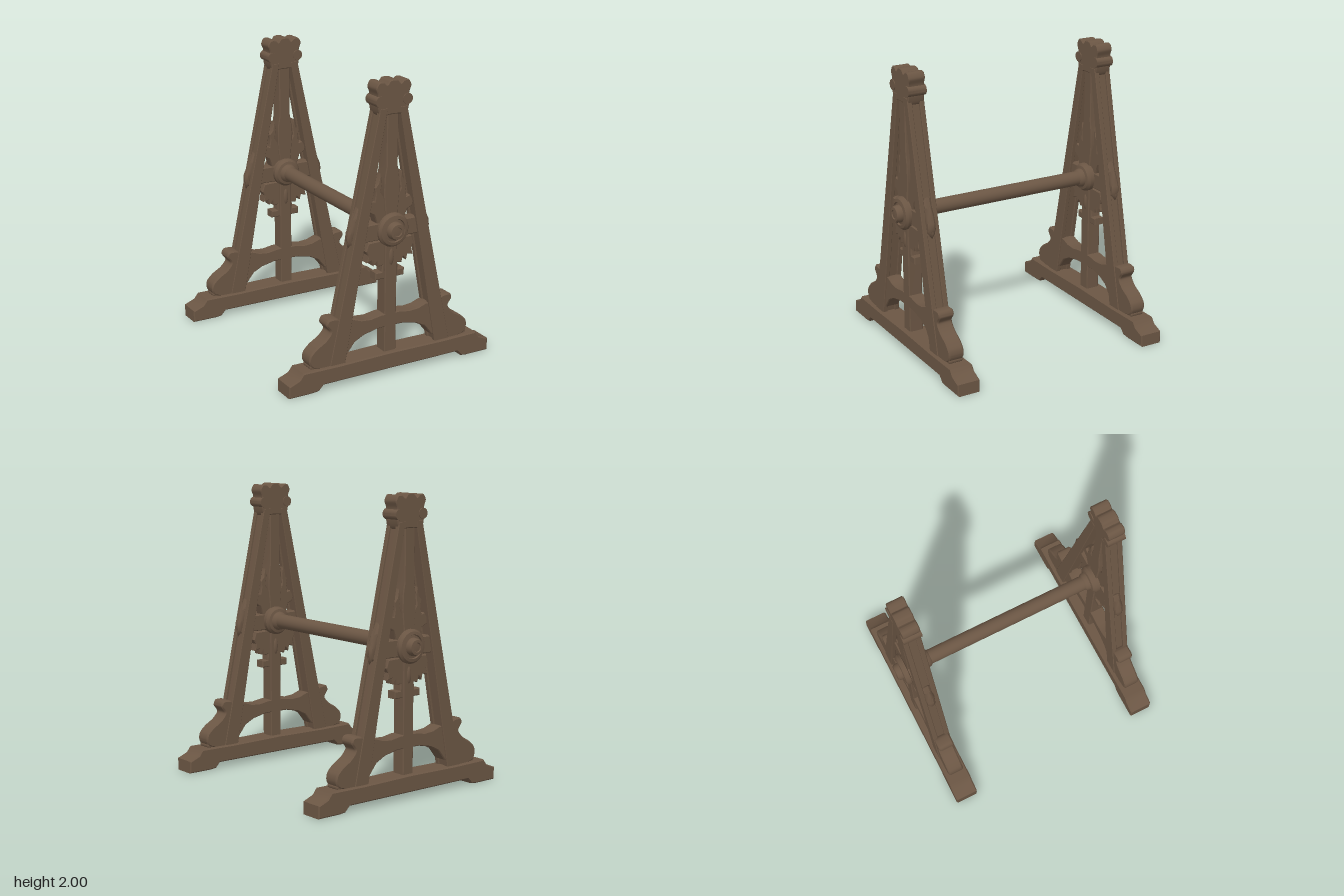
import * as THREE from 'three';
import { toCreasedNormals } from 'three/addons/utils/BufferGeometryUtils.js';

const wood = new THREE.MeshStandardMaterial({ color: 0x6b5644 });
wood.name = 'dark wood';

const FRAME_Z = 0.72, HUB_Y = 1.01;

function add(parent, name, geometry, x = 0, y = 0, z = 0) {
  const mesh = new THREE.Mesh(geometry, wood);
  mesh.name = name;
  mesh.position.set(x, y, z);
  parent.add(mesh);
  return mesh;
}

const vecs = (pts) => pts.map(([x, y]) => new THREE.Vector2(x, y));
const mirrorX = (pts) => pts.map(([x, y]) => [-x, y]).reverse();
// Closes a right-hand outline, listed from the centre line, with its mirror image
const symmetric = (pts) => [...pts, ...mirrorX(pts)];
// Rounds an outline into a smooth closed curve
function smooth(pts, n = 60, tension = 0.4) {
  const curve = new THREE.CatmullRomCurve3(pts.map(([x, y]) => new THREE.Vector3(x, y, 0)), true, 'catmullrom', tension);
  return curve.getPoints(n).slice(0, -1).map((p) => [p.x, p.y]);
}

// Outline extruded to a depth centred on z, with softened edges
function plate(pts, depth, bevel = 0.006) {
  const geo = new THREE.ExtrudeGeometry(new THREE.Shape(vecs(pts)), {
    depth: depth - 2 * bevel, bevelEnabled: true, bevelThickness: bevel,
    bevelSize: bevel, bevelOffset: -bevel, bevelSegments: 1,
  });
  geo.translate(0, 0, -depth / 2 + bevel);
  return toCreasedNormals(geo, 0.6);
}

function lathe(pts, segments = 28) {
  const geo = new THREE.LatheGeometry(vecs(pts), segments);
  geo.rotateX(Math.PI / 2);
  return toCreasedNormals(geo, 0.6);
}

function createFrame() {
  const frame = new THREE.Group();

  // Sill with chamfered ends and two feet
  add(frame, 'baseBeam', plate(symmetric([
    [0, 0.042], [0.52, 0.042], [0.555, 0.005], [0.6, 0], [0.775, 0], [0.775, 0.085],
    [0.7, 0.115], [0.67, 0.155], [0.4, 0.152], [0, 0.158],
  ]), 0.163, 0.008));

  // Centre post, swelling above the hub
  add(frame, 'centrePost', plate(symmetric([
    [0, 0.14], [0.045, 0.14], [0.045, 1.12], [0.058, 1.25], [0.054, 1.36],
    [0.042, 1.43], [0.042, 1.82], [0, 1.82],
  ]), 0.1));

  // Arched tie between the legs
  add(frame, 'archBrace', plate(symmetric([
    [0, 0.335], [0.1, 0.332], [0.2, 0.31], [0.27, 0.275], [0.33, 0.2], [0.38, 0.2],
    [0.34, 0.43], [0.28, 0.44], [0.22, 0.418], [0.15, 0.412], [0.07, 0.425], [0, 0.425],
  ]), 0.1));

  // Cross bar carrying the axle
  add(frame, 'crossBar', plate(symmetric([
    [0, 0.945], [0.26, 0.945], [0.235, 1.06], [0, 1.06],
  ]), 0.085));

  // Carved leaves above and below the hub
  add(frame, 'upperLeafCarving', plate(symmetric([
    [0, 1.05], [0.1, 1.05], [0.125, 1.12], [0.165, 1.14], [0.172, 1.18], [0.145, 1.215],
    [0.12, 1.21], [0.112, 1.26], [0.12, 1.3], [0.095, 1.33], [0.08, 1.39], [0.066, 1.34],
    [0.075, 1.27], [0.045, 1.22], [0, 1.22],
  ]), 0.075));
  add(frame, 'lowerLeafCarving', plate(symmetric([
    [0, 0.67], [0.11, 0.67], [0.11, 0.72], [0.062, 0.72], [0.058, 0.765], [0.09, 0.76],
    [0.1, 0.8], [0.125, 0.77], [0.135, 0.81], [0.175, 0.8], [0.165, 0.85], [0.185, 0.88],
    [0.165, 0.935], [0, 0.94],
  ]), 0.075));

  // Small pointed leaf on both faces of the post
  for (const z of [-0.045, 0.045]) {
    const leaf = add(frame, 'postLeaf', new THREE.SphereGeometry(1, 12, 8), 0, 0.82, z);
    leaf.scale.set(0.02, 0.06, 0.015);
  }

  // Scrolled crown holding the leg tops together
  add(frame, 'crown', plate(smooth(symmetric([
    [0.03, 1.775], [0.095, 1.77], [0.115, 1.83], [0.115, 1.905], [0.13, 1.95],
    [0.11, 1.987], [0.075, 1.987], [0.05, 1.97], [0.025, 1.995],
  ]), 80), 0.118));

  for (const s of [1, -1]) {
    const side = (pts) => (s > 0 ? pts : mirrorX(pts));

    // Leg: two outer rails with a recessed core between them
    for (const z of [-0.044, 0.044]) {
      const rail = plate(side([[0.35, 0.14], [0.464, 0.14], [0.1, 1.82], [0.045, 1.82]]), 0.034, 0.004);
      add(frame, 'legRail', rail, 0, 0, z);
    }
    add(frame, 'legCore', plate(side([[0.362, 0.14], [0.444, 0.14], [0.085, 1.82], [0.057, 1.82]]), 0.07, 0.002));

    // Bulging scroll bracket at the foot of the leg
    add(frame, 'footScroll', plate(smooth(side([
      [0.42, 0.15], [0.575, 0.155], [0.612, 0.2], [0.605, 0.25], [0.56, 0.295], [0.495, 0.335],
      [0.455, 0.385], [0.485, 0.435], [0.465, 0.472], [0.395, 0.465], [0.37, 0.4],
    ])), 0.112, 0.01));
    add(frame, 'footScrollToe', plate(smooth(side([
      [0.44, 0.15], [0.59, 0.15], [0.6, 0.18], [0.56, 0.2], [0.45, 0.2],
    ])), 0.1));

    // Pointed boss on the outside of the leg, level with the axle
    add(frame, 'legBoss', plate(side([
      [0.23, 0.94], [0.295, 0.935], [0.313, 0.975], [0.308, 1.02], [0.235, 1.18], [0.2, 1.15],
    ]), 0.055, 0.015));
    const bud = add(frame, 'legBossLeaf', new THREE.OctahedronGeometry(1, 1), s * 0.272, 1.03, 0);
    bud.scale.set(0.03, 0.12, 0.036);
    bud.rotation.z = s * 0.22;

    // Rolled ear beneath the crown
    const ear = new THREE.CylinderGeometry(0.036, 0.036, 0.13, 14);
    ear.rotateX(Math.PI / 2);
    add(frame, 'crownEar', toCreasedNormals(ear, 0.6), s * 0.1, 1.865, 0);
  }

  // Turned hub, with its round boss facing outward
  add(frame, 'hub', lathe([
    [0.05, -0.13], [0.06, -0.12], [0.066, -0.095], [0.085, -0.09], [0.1, -0.07], [0.1, -0.05],
    [0.1, 0.05], [0.114, 0.055], [0.114, 0.072], [0.1, 0.088], [0.08, 0.092], [0.076, 0.082],
    [0.06, 0.085], [0.058, 0.112], [0.05, 0.127], [0.032, 0.129], [0.028, 0.122], [0, 0.124],
  ]), 0, HUB_Y, 0);

  return frame;
}

export function createModel() {
  const model = new THREE.Group();
  model.name = 'trestleStand';

  const front = createFrame();
  front.name = 'frontFrame';
  front.position.z = FRAME_Z;
  const back = createFrame();
  back.name = 'backFrame';
  back.position.z = -FRAME_Z;
  back.rotation.y = Math.PI;
  model.add(front, back);

  // Round axle joining both frames
  const axle = new THREE.CylinderGeometry(0.051, 0.051, 2 * FRAME_Z - 0.1, 24);
  axle.rotateX(Math.PI / 2);
  add(model, 'axle', axle, 0, HUB_Y, 0);

  return model;
}
